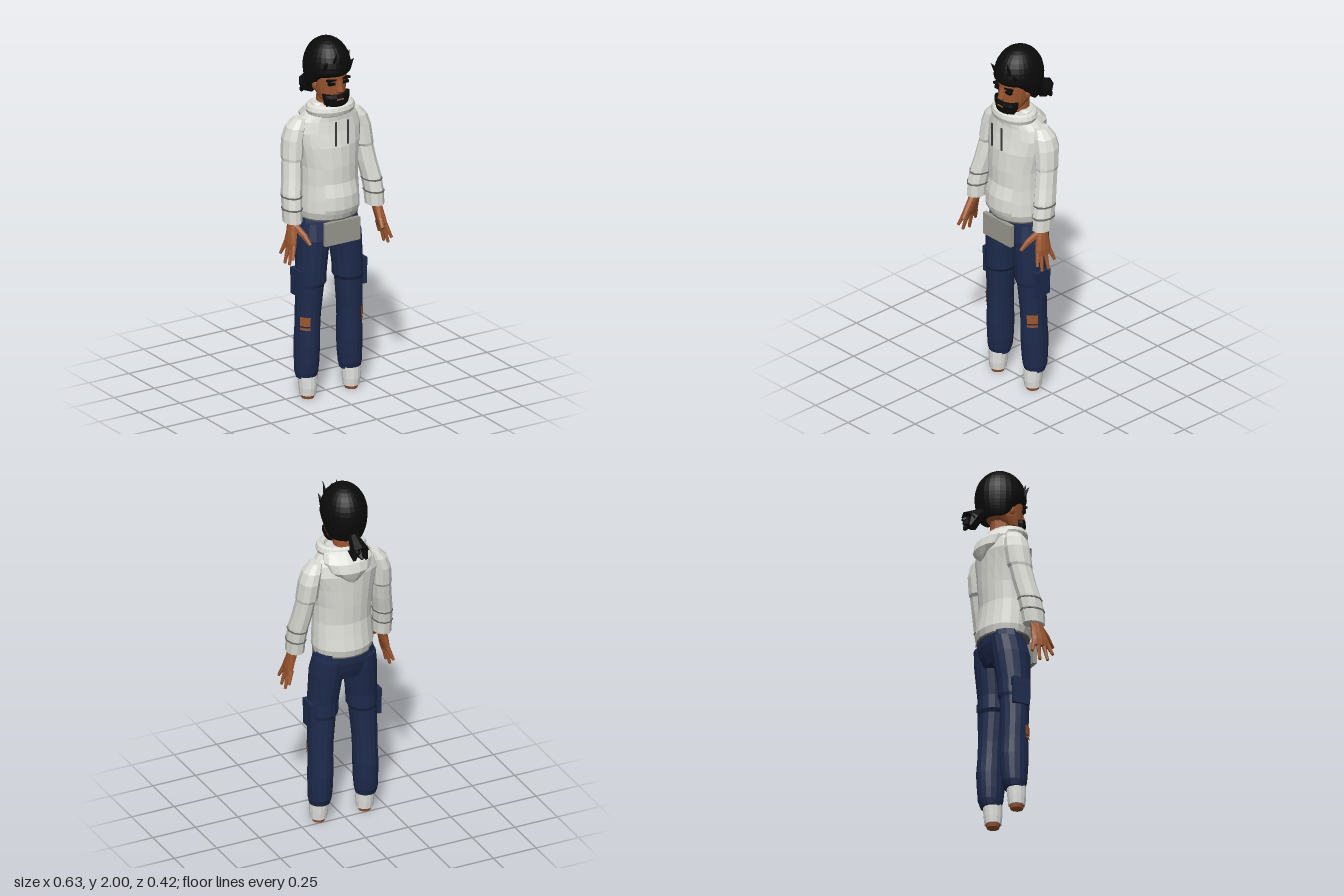
import * as THREE from 'three';

const mat = (name, color, extra = {}) => Object.assign(
  new THREE.MeshStandardMaterial({ color, flatShading: true, ...extra }), { name });

// Loft of horizontal elliptical rings [cx, y, cz, rx, rz], listed from bottom to top.
// from/to pick facets for an open panel; a full loft gets end caps.
function loft(rings, n = 16, from = 0, to = n) {
  const pos = [], idx = [], w = to - from + 1;
  for (const [cx, y, cz, rx, rz] of rings)
    for (let i = from; i <= to; i++) {
      const t = (i / n) * Math.PI * 2;
      pos.push(cx + rx * Math.cos(t), y, cz + rz * Math.sin(t));
    }
  for (let j = 0; j < rings.length - 1; j++)
    for (let i = 0; i < w - 1; i++) {
      const a = j * w + i, b = a + 1, d = a + w, c = d + 1;
      idx.push(a, d, c, a, c, b);
    }
  if (to - from === n) {
    const last = (rings.length - 1) * w, k = pos.length / 3;
    for (const r of [rings[0], rings[rings.length - 1]]) pos.push(r[0], r[1], r[2]);
    for (let i = 0; i < n; i++) idx.push(k, i, i + 1, k + 1, last + i + 1, last + i);
  }
  const g = new THREE.BufferGeometry();
  g.setAttribute('position', new THREE.Float32BufferAttribute(pos, 3));
  g.setIndex(idx);
  g.computeVertexNormals();
  return g;
}

// Tapered rod from a to b
function rod(a, b, ra, rb, n = 7) {
  const A = new THREE.Vector3(...a), B = new THREE.Vector3(...b), d = B.clone().sub(A);
  const g = new THREE.CylinderGeometry(rb, ra, d.length(), n);
  g.applyQuaternion(new THREE.Quaternion().setFromUnitVectors(new THREE.Vector3(0, 1, 0), d.normalize()));
  return g.translate(...A.add(B).multiplyScalar(0.5).toArray());
}

const box = (w, h, d, x, y, z) => new THREE.BoxGeometry(w, h, d).translate(x, y, z);

export function createModel() {
  const root = new THREE.Group();
  const cloth = mat('hoodie white', 0xdcddd6, { side: THREE.DoubleSide });
  const seam = mat('seam grey', 0x6c6c68);
  const denim = mat('denim navy', 0x1e2b4d);
  const skin = mat('skin brown', 0x9c5730, { side: THREE.DoubleSide });
  const hair = mat('hair black', 0x0b0b0b);
  const plateGrey = mat('plate grey', 0x9b9b91);
  const cord = mat('cord grey', 0x3c3c3c);
  const sockWhite = mat('sock white', 0xe2e2e0);
  const add = (name, geo, m) => {
    const mesh = new THREE.Mesh(geo, m);
    mesh.name = name;
    root.add(mesh);
    return mesh;
  };

  // Hoodie body
  add('hoodieBody', loft([
    [0, 1.02, 0.025, 0.16, 0.133], [0, 1.06, 0.028, 0.17, 0.146], [0, 1.13, 0.032, 0.167, 0.138],
    [0, 1.21, 0.033, 0.162, 0.128], [0, 1.31, 0.029, 0.163, 0.13], [0, 1.42, 0.022, 0.18, 0.126],
    [0, 1.5, 0.01, 0.195, 0.116], [0, 1.56, 0.01, 0.175, 0.105], [0, 1.6, 0.02, 0.135, 0.095],
    [0, 1.63, 0.025, 0.09, 0.08]], 20), cloth);
  add('hemSeam', loft([[0, 1.014, 0.025, 0.161, 0.134], [0, 1.022, 0.025, 0.163, 0.136]], 20), seam);
  add('frontPocket', loft([
    [0, 1.055, 0.032, 0.17, 0.147], [0, 1.08, 0.036, 0.172, 0.15],
    [0, 1.15, 0.036, 0.168, 0.146], [0, 1.22, 0.033, 0.162, 0.128]], 20, 3, 7), cloth);

  // Collar ring and fallen hood
  const collar = new THREE.TorusGeometry(1, 0.24, 8, 22).rotateX(Math.PI / 2);
  collar.scale(0.113, 0.125, 0.088);
  add('collar', collar.translate(0, 1.62, 0.042), cloth);
  add('hood', loft([
    [0, 1.455, -0.09, 0.012, 0.012], [0, 1.49, -0.075, 0.065, 0.043], [0, 1.53, -0.055, 0.12, 0.078],
    [0, 1.58, -0.035, 0.14, 0.083], [0, 1.62, -0.01, 0.125, 0.068], [0, 1.645, 0, 0.09, 0.05]], 14), cloth);
  for (const x of [-0.042, 0.032]) add('drawstring', box(0.009, 0.135, 0.006, x, 1.507, 0.165), cord);

  // Plate hanging at the front of the waist
  add('waistPlate', box(0.215, 0.127, 0.024, 0, 0.948, 0.156), plateGrey);

  // Hips
  add('hips', loft([
    [0, 0.87, 0.02, 0.13, 0.09], [0, 0.92, 0.018, 0.18, 0.106],
    [0, 0.97, 0.008, 0.176, 0.108], [0, 1.03, 0.003, 0.162, 0.103]], 16), denim);

  for (const s of [1, -1]) {
    // Sleeve with draped step and cuff
    add('sleeve', loft([
      [0.255, 1.03, 0.074, 0.048, 0.062], [0.254, 1.1, 0.067, 0.049, 0.066], [0.247, 1.185, 0.05, 0.051, 0.066],
      [0.232, 1.27, 0.03, 0.051, 0.065], [0.222, 1.355, 0.013, 0.049, 0.064], [0.217, 1.37, 0.01, 0.057, 0.07],
      [0.208, 1.47, 0, 0.055, 0.072], [0.19, 1.53, 0, 0.052, 0.064], [0.165, 1.575, 0.002, 0.032, 0.042],
    ].map(([x, ...r]) => [x * s, ...r]), 10), cloth);
    for (const [y, x, z] of [[1.165, 0.249, 0.054], [1.1, 0.254, 0.067]])
      add('cuffSeam', loft([[x * s, y, z, 0.053, 0.069], [x * s, y + 0.008, z, 0.053, 0.069]], 10), seam);

    // Hand: palm, four spread fingers and a thumb
    add('palm', loft([
      [0.29, 0.895, 0.095, 0.013, 0.05], [0.282, 0.93, 0.098, 0.02, 0.052],
      [0.268, 0.99, 0.09, 0.024, 0.04], [0.256, 1.045, 0.08, 0.027, 0.033],
    ].map(([x, ...r]) => [x * s, ...r]), 10), skin);
    for (const [z0, z1, y1] of [[0.135, 0.16, 0.85], [0.112, 0.128, 0.812], [0.085, 0.082, 0.808], [0.06, 0.038, 0.85]])
      add('finger', rod([0.283 * s, 0.92, z0], [0.307 * s, y1, z1], 0.014, 0.008), skin);
    add('thumbBase', rod([0.258 * s, 1.015, 0.105], [0.236 * s, 0.97, 0.165], 0.02, 0.017), skin);
    add('thumb', rod([0.236 * s, 0.972, 0.162], [0.224 * s, 0.93, 0.203], 0.017, 0.009), skin);

    // Trouser leg with a loose thigh panel and gathered ankle
    add('trouserLeg', loft([
      [0.135, 0.115, 0.022, 0.056, 0.055], [0.135, 0.15, 0.02, 0.063, 0.068], [0.133, 0.21, 0.02, 0.066, 0.074],
      [0.132, 0.3, 0.02, 0.067, 0.08], [0.13, 0.4, 0.023, 0.066, 0.075], [0.129, 0.47, 0.025, 0.068, 0.075],
      [0.12, 0.635, 0.03, 0.075, 0.08], [0.115, 0.655, 0.03, 0.083, 0.088], [0.112, 0.73, 0.03, 0.083, 0.09],
      [0.098, 0.9, 0.02, 0.09, 0.106], [0.088, 0.99, 0.005, 0.085, 0.1],
    ].map(([x, ...r]) => [x * s, ...r]), 16), denim);

    // Cargo pocket and flap
    add('cargoPocket', box(0.022, 0.14, 0.095, 0.196 * s, 0.655, 0.027), denim);
    add('pocketFlap', box(0.026, 0.045, 0.1, 0.196 * s, 0.71, 0.027), denim);

    // Skin showing through the torn knee
    const [f, t] = s > 0 ? [1, 3] : [5, 7];
    for (const [y0, y1] of [[0.398, 0.412], [0.42, 0.472]])
      add('kneeTear', loft([[0.13 * s, y0, 0.024, 0.071, 0.08], [0.129 * s, y1, 0.025, 0.072, 0.08]], 16, f, t), skin);

    // Sock and foot stub
    add('sock', loft([
      [0.135 * s, 0.02, 0.035, 0.045, 0.045], [0.135 * s, 0.06, 0.035, 0.049, 0.05],
      [0.135 * s, 0.125, 0.032, 0.053, 0.052]], 14), sockWhite);
    add('foot', loft([[0.135 * s, 0, 0.035, 0.033, 0.034], [0.135 * s, 0.025, 0.035, 0.04, 0.04]], 12), skin);

    // Ear, eye and brow
    add('ear', new THREE.SphereGeometry(1, 8, 6).scale(0.012, 0.028, 0.018).translate(0.091 * s, 1.755, 0.03), skin);
    add('eye', box(0.036, 0.016, 0.02, 0.042 * s, 1.776, 0.12), hair);
    add('brow', box(0.052, 0.01, 0.02, 0.044 * s, 1.797, 0.122), hair);
  }

  // Neck, head and nose
  add('neck', rod([0, 1.58, 0.01], [0, 1.74, 0.012], 0.058, 0.056, 12), skin);
  add('head', loft([
    [0, 1.65, 0.08, 0.045, 0.045], [0, 1.68, 0.06, 0.068, 0.072], [0, 1.72, 0.032, 0.08, 0.1],
    [0, 1.77, 0.02, 0.088, 0.115], [0, 1.84, 0.015, 0.095, 0.12], [0, 1.91, 0.012, 0.07, 0.09]], 18), skin);
  add('nose', loft([
    [0, 1.72, 0.13, 0.016, 0.012], [0, 1.735, 0.136, 0.018, 0.022], [0, 1.79, 0.13, 0.008, 0.01]], 6), skin);

  // Beard with a mouth gap
  add('beard', loft([
    [0, 1.632, 0.1, 0.05, 0.03], [0, 1.66, 0.1, 0.07, 0.042],
    [0, 1.695, 0.1, 0.081, 0.043], [0, 1.714, 0.098, 0.084, 0.036]], 14), hair);
  add('lips', box(0.04, 0.008, 0.008, 0, 1.688, 0.14), skin);

  // Hair cap: a sphere whose lower edge is high at the brow and low at the nape
  const cap = new THREE.SphereGeometry(1, 28, 18), p = cap.attributes.position;
  for (let i = 0; i < p.count; i++) {
    const x = p.getX(i), v = p.getY(i), z = p.getZ(i), h = Math.hypot(x, z);
    const front = h > 1e-4 ? z / h : 0;
    const edge = 1.807 - 0.095 * (1 - THREE.MathUtils.smoothstep(front, -0.3, 0.7));
    const k = v < 0 && h > 1e-4 ? Math.sqrt(1 - (0.6 * v) ** 2) / h : 1;
    p.setXYZ(i, x * k * 0.123, 1.84 + v * (v > 0 ? 0.16 : 1.84 - edge), 0.01 + z * k * 0.141);
  }
  cap.computeVertexNormals();
  add('hairCap', cap, hair);

  // Upright tufts over the forehead
  for (const [x, y, lean] of [[-0.07, 1.91, -0.01], [-0.035, 1.95, 0.01], [0.005, 1.93, -0.01], [0.045, 1.96, 0.01], [0.075, 1.9, 0.012]])
    add('hairTuft', rod([x, 1.85, 0.125 - Math.abs(x) * 0.35], [x + lean, y, 0.158 - Math.abs(x) * 0.3], 0.02, 0.001, 5), hair);

  // Tied tail at the back with loose tips
  add('hairTail', rod([0, 1.745, -0.1], [0, 1.68, -0.175], 0.025, 0.056, 8), hair);
  for (const [x, y, z] of [[0, 1.655, -0.211], [-0.035, 1.635, -0.19], [0.035, 1.64, -0.188], [0.02, 1.69, -0.208]])
    add('tailTip', rod([x * 0.7, 1.69, -0.16], [x, y, z], 0.035, 0.008, 6), hair);

  return root;
}
